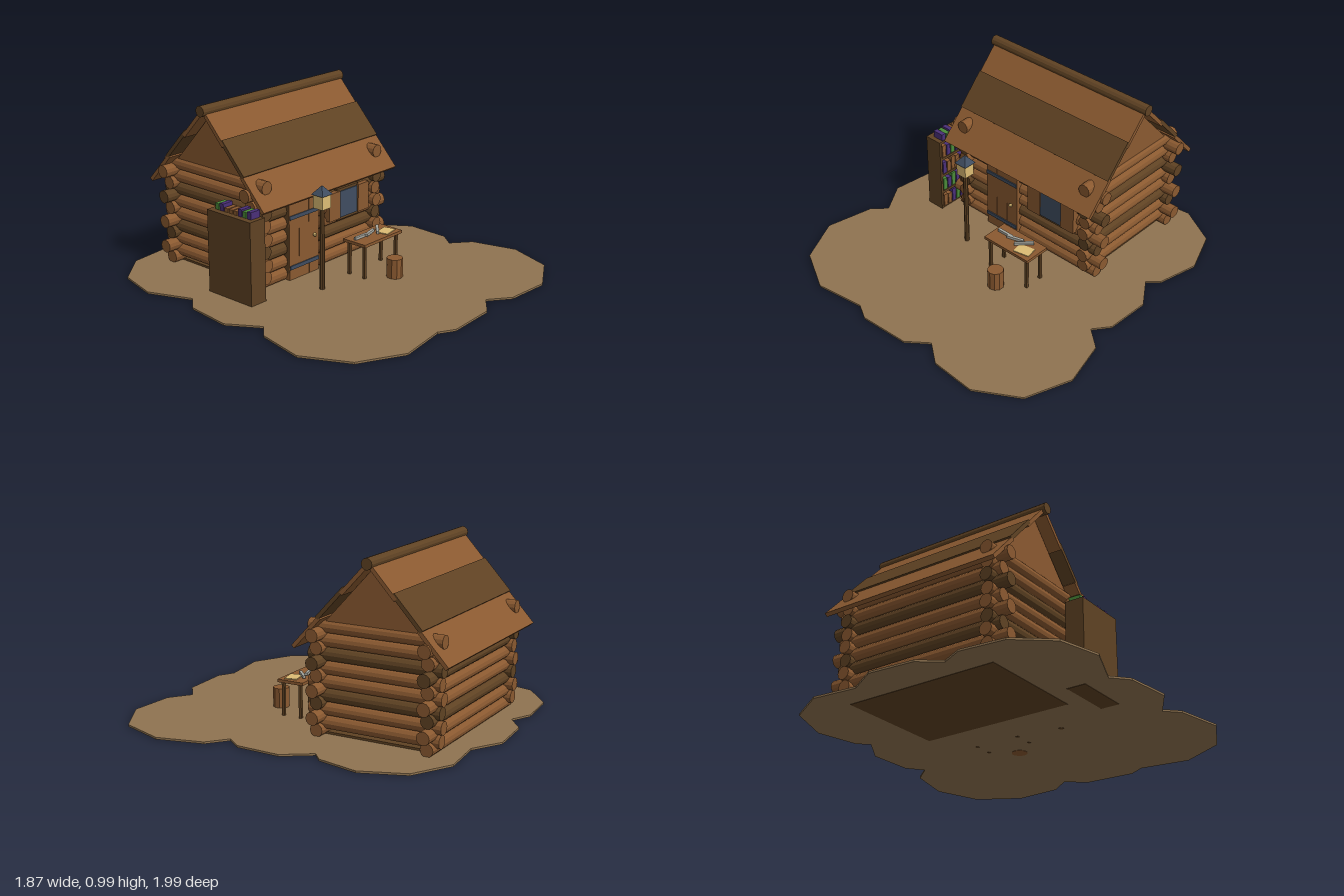
import * as THREE from 'three';

const mat = (name, color) => {
  const m = new THREE.MeshStandardMaterial({ color, flatShading: true });
  m.name = name;
  return m;
};

export function createModel() {
  const root = new THREE.Group();
  root.name = 'logCabin';
  const earth = mat('earth', 0x8f7350);
  const wood = mat('lightWood', 0x8a5930);
  const dark = mat('darkWood', 0x5f4223);
  const slate = mat('slateMetal', 0x3f4d60);
  const gold = mat('lampGold', 0xdcbc74);
  const grey = mat('greyMetal', 0xa6a69e);
  const green = mat('greenBook', 0x4a8a38);
  const purple = mat('purpleBook', 0x4a2f78);

  const add = (name, geo, material, x = 0, y = 0, z = 0, parent = root) => {
    const m = new THREE.Mesh(geo, material);
    m.name = name;
    m.position.set(x, y, z);
    parent.add(m);
    return m;
  };
  // Box given by its low and high corners
  const box = (name, m, x0, x1, y0, y1, z0, z1, parent = root) =>
    add(name, new THREE.BoxGeometry(x1 - x0, y1 - y0, z1 - z0), m,
      (x0 + x1) / 2, (y0 + y1) / 2, (z0 + z1) / 2, parent);
  const group = (name) => {
    const g = new THREE.Group();
    g.name = name;
    root.add(g);
    return g;
  };
  const cyl = (r, h, n = 12) => new THREE.CylinderGeometry(r, r, h, n);

  // Irregular ground patch
  const outline = [
    [0.10, -1], [0.27, -0.90], [0.53, -0.925], [0.75, -0.80], [0.845, -0.555], [0.79, -0.315],
    [0.73, -0.26], [0.835, -0.105], [0.825, 0.15], [0.755, 0.24], [0.865, 0.33], [0.93, 0.59],
    [0.835, 0.85], [0.60, 0.99], [0.335, 0.975], [0.215, 0.885], [0.10, 0.975], [-0.19, 0.99],
    [-0.28, 0.94], [-0.565, 0.98], [-0.81, 0.85], [-0.94, 0.595], [-0.885, 0.32], [-0.81, 0.245],
    [-0.92, 0.07], [-0.89, -0.195], [-0.81, -0.285], [-0.91, -0.53], [-0.85, -0.77], [-0.66, -0.925],
    [-0.405, -0.95], [-0.28, -0.89], [-0.165, -0.98]];
  const patch = new THREE.Shape(outline.map(([x, z]) => new THREE.Vector2(x, -z)));
  add('ground', new THREE.ExtrudeGeometry(patch, { depth: 0.011, bevelEnabled: false })
    .rotateX(-Math.PI / 2), earth, 0, 0.002, 0);

  // Interlocking log walls
  const CX = -0.017, CZ = -0.44, HX = 0.45, HZ = 0.32, STEP = 0.0735, R = 0.037;
  const walls = group('logWalls');
  for (let k = 0; k < 8; k++) {
    const m = k % 3 === 2 ? dark : wood;
    const long = k % 2 === 1;
    for (const s of [-1, 1]) {
      add('crossLog', cyl(R, long ? 1.114 : 1.027).rotateZ(Math.PI / 2), m,
        CX, 0.045 + k * STEP, CZ + s * HZ, walls);
      add('sideLog', cyl(R, long ? 0.77 : 0.75).rotateX(Math.PI / 2), m,
        CX + s * HX, 0.08 + k * STEP, CZ, walls);
    }
  }
  box('floor', dark, CX - 0.45, CX + 0.45, 0, 0.025, CZ - 0.32, CZ + 0.32);

  // Gable ends
  const tri = new THREE.Shape([[-0.29, 0.62], [0.29, 0.62], [0, 0.935]]
    .map(([a, b]) => new THREE.Vector2(a, b)));
  for (const s of [-1, 1]) {
    add('gable', new THREE.ExtrudeGeometry(tri, { depth: 0.04, bevelEnabled: false })
      .translate(0, 0, -0.02).rotateY(Math.PI / 2), wood, CX + s * HX, 0, CZ);
  }

  // Roof: three overlapping boards on each slope, plus the ridge log
  const roof = group('roof');
  const slope = Math.atan(1.08), len = 0.158 / Math.cos(slope);
  for (const s of [-1, 1]) {
    for (let i = 0; i < 3; i++) {
      const d = 0.075 + i * 0.143, lift = i === 1 ? 0.008 : -0.004;
      const board = add('roofBoard', new THREE.BoxGeometry(1.083, 0.022, len),
        i === 1 ? dark : wood, -0.015, 0.965 - 1.08 * d + lift, CZ + s * d, roof);
      board.rotation.x = s * slope;
    }
  }
  add('ridgeLog', cyl(0.031, 1.114).rotateZ(Math.PI / 2), dark, CX, 0.962, CZ, roof);

  // Door with hinge straps and knob
  const door = group('door');
  for (let i = 0; i < 3; i++) {
    const x = -0.29 + i * 0.0785;
    box('doorBoard', wood, x, x + 0.0765, 0.012, 0.455, -0.11, -0.066, door);
  }
  box('doorBacking', dark, -0.29, -0.057, 0.012, 0.455, -0.11, -0.07, door);
  for (const y of [0.375, 0.085]) box('hingeStrap', slate, -0.288, -0.06, y - 0.011, y + 0.011, -0.07, -0.06, door);
  add('knob', new THREE.SphereGeometry(0.011, 8, 6), gold, -0.098, 0.232, -0.055, door);

  // Window with shutters
  const win = group('window');
  box('windowFrame', dark, 0.105, 0.285, 0.255, 0.44, -0.11, -0.07, win);
  box('glass', slate, 0.12, 0.27, 0.27, 0.425, -0.072, -0.064, win);
  for (const x of [0.028, 0.273]) {
    box('shutter', wood, x, x + 0.092, 0.268, 0.43, -0.1, -0.058, win);
  }

  // Lamp post
  const lamp = group('lampPost');
  add('post', cyl(0.014, 0.48, 8), dark, -0.255, 0.24, 0.142, lamp);
  box('lantern', gold, -0.288, -0.222, 0.477, 0.555, 0.109, 0.175, lamp);
  add('lanternRoof', new THREE.ConeGeometry(0.058, 0.05, 4).rotateY(Math.PI / 4), slate,
    -0.255, 0.578, 0.142, lamp);

  // Work table with tools and paper
  const table = group('table');
  box('tableTop', wood, -0.018, 0.302, 0.204, 0.221, 0.082, 0.242, table);
  for (const x of [0.007, 0.277]) {
    for (const z of [0.11, 0.218]) {
      box('tableLeg', dark, x - 0.008, x + 0.008, 0, 0.205, z - 0.008, z + 0.008, table);
    }
  }
  const tools = [[0.055, 0.15, 0.1, 0.0], [0.13, 0.15, 0.1, 0.28], [0.195, 0.15, 0.11, 0.75]];
  tools.forEach(([x, z, l, a], i) => {
    const t = add('metalBar', new THREE.BoxGeometry(l, 0.015, 0.016), grey, x, 0.23 + i * 0.002, z, table);
    t.rotation.y = a;
  });
  const paper = add('paper', new THREE.BoxGeometry(0.095, 0.005, 0.07), gold, 0.228, 0.2235, 0.185, table);
  paper.rotation.y = 0.2;

  // Stump stool
  add('stool', cyl(0.046, 0.125, 10), wood, 0.142, 0.0625, 0.322);

  // Bookcase, open towards the cabin
  const shelf = group('bookcase');
  box('back', dark, -0.68, -0.665, 0, 0.48, -0.29, 0.03, shelf);
  box('sidePanel', dark, -0.68, -0.572, 0, 0.48, -0.29, -0.275, shelf);
  box('sidePanel', dark, -0.68, -0.572, 0, 0.48, 0.015, 0.03, shelf);
  const books = [green, purple, wood, wood, wood, purple, green, purple];
  for (let r = 0; r < 5; r++) {
    const y = r * 0.116;
    box('shelfBoard', dark, -0.678, -0.574, y, y + 0.016, -0.276, 0.016, shelf);
    books.forEach((_, i) => {
      const z = -0.262 + i * 0.034, m = books[(i + (4 - r) * 3) % 8];
      const h = r === 4 ? (m === wood ? 0.022 : m === green ? 0.034 : 0.04) : 0.07 + (i % 3) * 0.008;
      box('book', m, -0.646, -0.578, y + 0.016, y + 0.016 + h, z, z + 0.027, shelf);
    });
  }
  return root;
}
